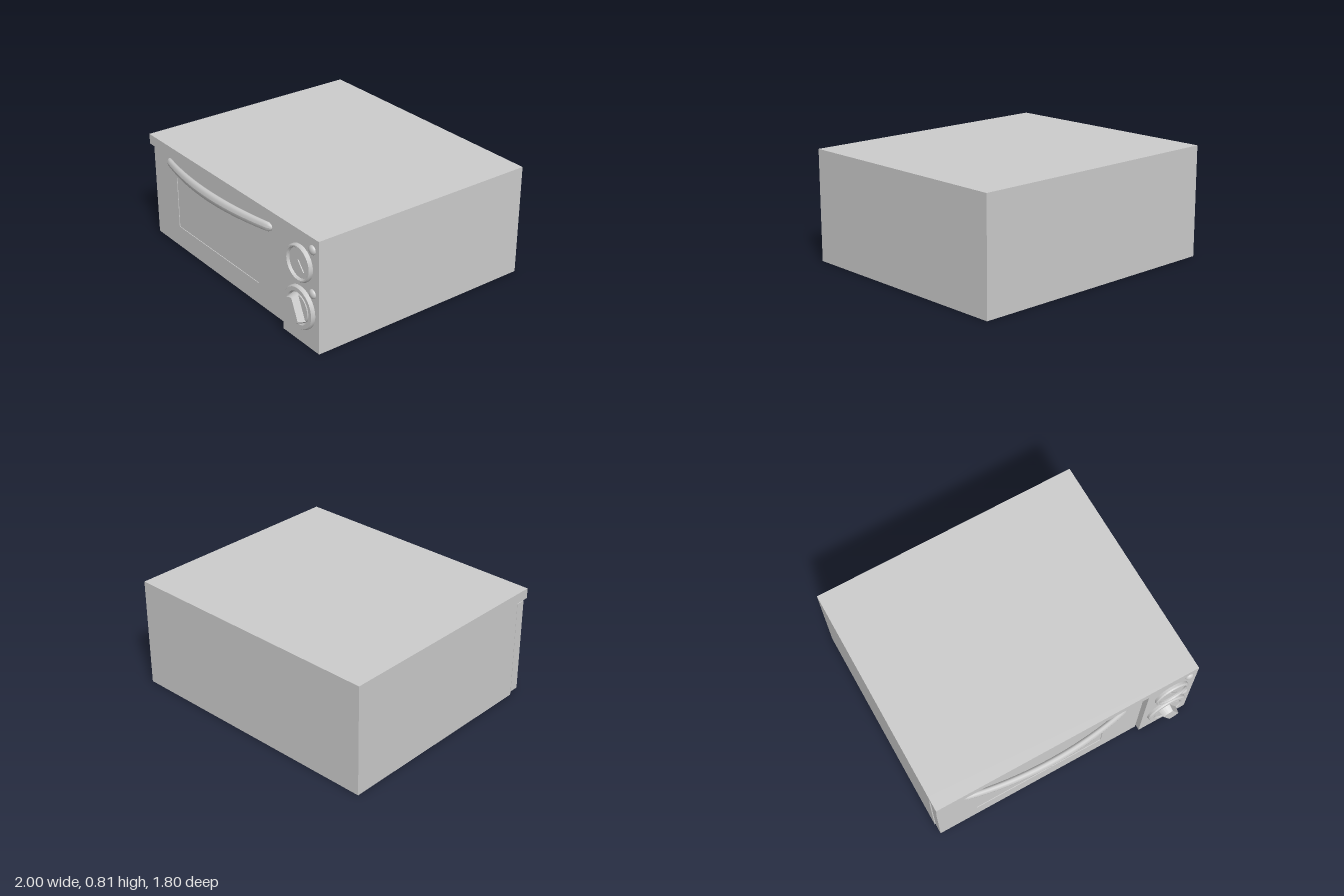
import * as THREE from 'three';
import { toCreasedNormals } from 'three/addons/utils/BufferGeometryUtils.js';

const FRONT = 0.82;      // front plane of the casing
const DOOR_FRONT = 0.79; // door sits slightly behind it
const mat = new THREE.MeshStandardMaterial({ color: 0xcccccc });

function add(parent, name, geometry, x = 0, y = 0, z = 0) {
  const mesh = new THREE.Mesh(geometry, mat);
  mesh.name = name;
  mesh.position.set(x, y, z);
  parent.add(mesh);
  return mesh;
}

function polygon(points) {
  return new THREE.Shape(points.map(([x, y]) => new THREE.Vector2(x, y)));
}

// Solid of revolution whose axis points forward; profile is [radius, depth]
function turned(profile, segments = 32) {
  const pts = profile.map(([r, z]) => new THREE.Vector2(r, z));
  return toCreasedNormals(new THREE.LatheGeometry(pts, segments).rotateX(Math.PI / 2), 0.7);
}

function ringProfile(outer, inner, depth) {
  return [[outer, 0], [outer, depth * 0.65], [outer - 0.008, depth], [inner + 0.008, depth],
    [inner, depth * 0.65], [inner, 0.008], [0, 0.008]];
}

export function createModel() {
  const oven = new THREE.Group();
  oven.name = 'toasterOven';

  // Casing: main box, with top lip and control column projecting in front
  const casing = new THREE.Group();
  casing.name = 'casing';
  oven.add(casing);
  add(casing, 'body', new THREE.BoxGeometry(2, 0.81, 1.61), 0, 0.405, -0.095);
  const surround = polygon([[0.615, 0], [1, 0], [1, 0.81], [-1, 0.81], [-1, 0.735], [0.615, 0.735]]);
  add(casing, 'frontSurround', new THREE.ExtrudeGeometry(surround, {
    depth: FRONT - 0.71, bevelEnabled: false }), 0, 0, 0.71);

  // Door frame with window opening
  const door = new THREE.Group();
  door.name = 'door';
  oven.add(door);
  const frame = polygon([[-0.995, 0.02], [0.6, 0.02], [0.6, 0.725], [-0.995, 0.725]]);
  frame.holes.push(polygon([[-0.7, 0.18], [-0.7, 0.57], [0.3, 0.57], [0.3, 0.18]]));
  add(door, 'doorFrame', new THREE.ExtrudeGeometry(frame, {
    depth: DOOR_FRONT - 0.72, bevelEnabled: false }), 0, 0, 0.72);
  add(door, 'window', new THREE.BoxGeometry(1, 0.39, 0.06), -0.2, 0.375, 0.755);

  // Bowed handle: a rod with tapered ends, bent forward in the middle
  const half = 0.635;
  const profile = [[0, -half], [0.018, -half + 0.005], [0.033, -half + 0.03]];
  for (let i = 0; i <= 20; i++) profile.push([0.034 + 0.006 * Math.sin(Math.PI * i / 20), -0.57 + 0.057 * i]);
  profile.push([0.033, half - 0.03], [0.018, half - 0.005], [0, half]);
  const rod = new THREE.LatheGeometry(profile.map(([r, y]) => new THREE.Vector2(r, y)), 12);
  rod.rotateZ(-Math.PI / 2).scale(1, 1, 0.6);
  const p = rod.attributes.position;
  for (let i = 0; i < p.count; i++) {
    const t = p.getX(i) / half;
    p.setZ(i, p.getZ(i) + 0.075 * (1 - t * t));
  }
  rod.computeVertexNormals();
  add(door, 'handle', rod, -0.165, 0.668, DOOR_FRONT + 0.002);

  // Control column
  const controls = new THREE.Group();
  controls.name = 'controls';
  oven.add(controls);

  // Upper timer dial with a pointer
  add(controls, 'timerDial', turned(ringProfile(0.13, 0.105, 0.027)), 0.81, 0.583, FRONT);
  const pointer = add(controls, 'timerPointer', new THREE.BoxGeometry(0.012, 0.09, 0.008), 0.825, 0.565, FRONT + 0.011);
  pointer.rotation.z = 0.7;

  // Lower dial with a tapered, round-ended grip
  add(controls, 'knobRing', turned(ringProfile(0.152, 0.108, 0.027)), 0.81, 0.262, FRONT);
  add(controls, 'knobBase', turned([[0.104, 0], [0.104, 0.018], [0.098, 0.024], [0, 0.024]]), 0.81, 0.262, FRONT);
  const grip = new THREE.Shape();
  const a = 0.45;
  grip.absarc(0, 0, 0.104, Math.PI / 2 - a, Math.PI / 2 + a, false);
  grip.absarc(0, 0, 0.104, -Math.PI / 2 - a, -Math.PI / 2 + a, false);
  const gripGeometry = new THREE.ExtrudeGeometry(grip, { depth: 0.055, bevelEnabled: false });
  const g = gripGeometry.attributes.position;
  for (let i = 0; i < g.count; i++) {
    const s = 1 - 0.14 * g.getZ(i) / 0.055;
    g.setXY(i, g.getX(i) * s, g.getY(i) * s);
  }
  const knob = add(controls, 'knobGrip', toCreasedNormals(gripGeometry, 0.6), 0.81, 0.262, FRONT + 0.02);
  knob.rotation.z = 0.42;

  // Indicator lights
  for (const y of [0.727, 0.415]) {
    const light = add(controls, 'indicatorLight', new THREE.SphereGeometry(0.033, 16, 10), 0.937, y, FRONT);
    light.scale.z = 0.6;
  }
  return oven;
}
